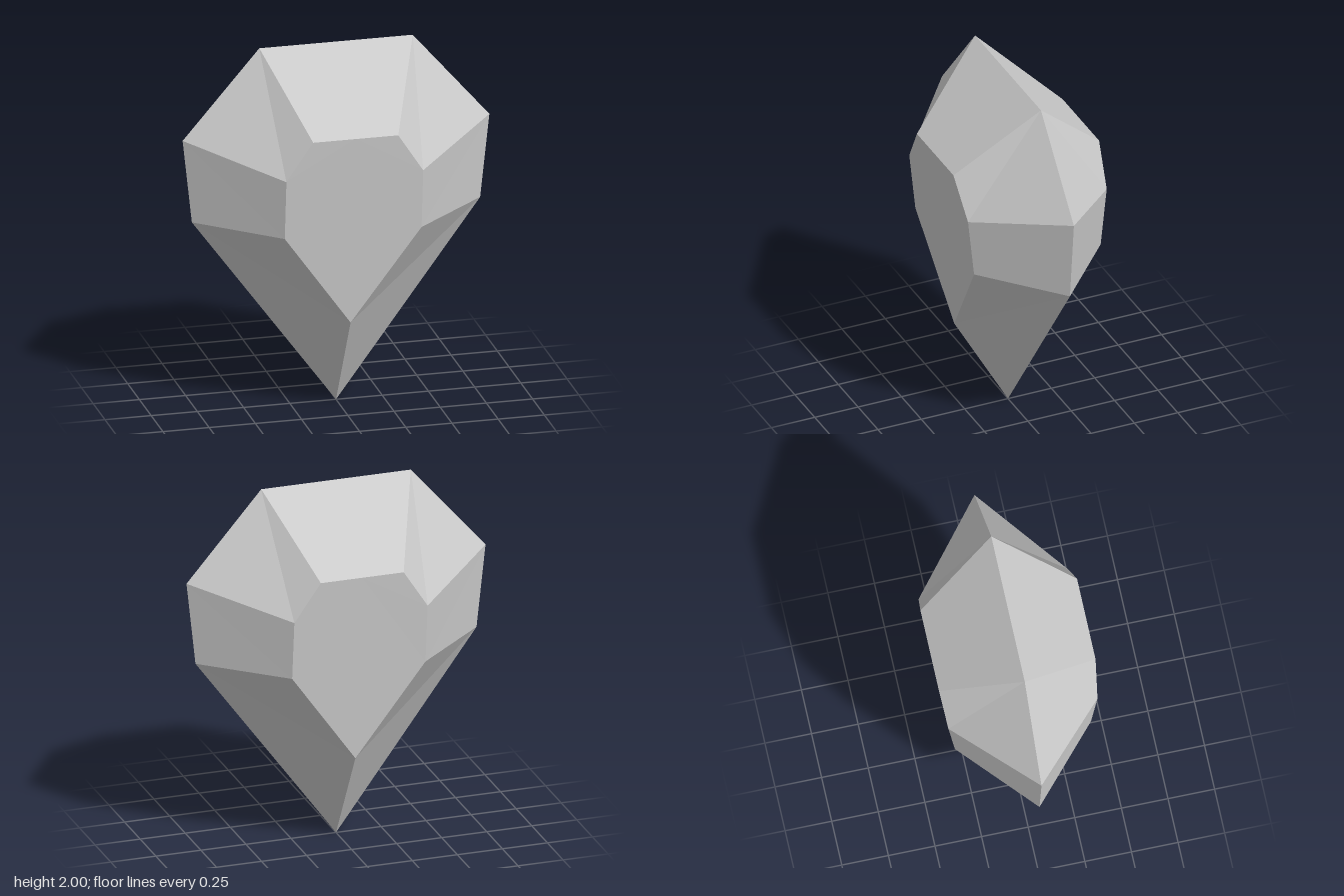
import * as THREE from 'three';

// One quarter of the gem, from the top centre round to the bottom tip.
const girdle = [[0, 2, 0], [0.415, 2, 0], [0.83, 1.52, 0], [0.78, 1.06, 0], [0, 0, 0]];
const table = [[0, 1.605, 0.42], [0.23, 1.605, 0.42], [0.37, 1.39, 0.4], [0.37, 1.06, 0.365], [0, 0.54, 0.31]];

// Mirrors a list of quarter triangles into all four quarters.
function mirrored(triangles) {
  const positions = [];
  for (const sx of [1, -1]) {
    for (const sz of [1, -1]) {
      for (const [a, b, c] of triangles) {
        const corners = sx * sz > 0 ? [a, b, c] : [a, c, b];
        for (const [x, y, z] of corners) positions.push(x * sx, y, z * sz);
      }
    }
  }
  const geometry = new THREE.BufferGeometry();
  geometry.setAttribute('position', new THREE.Float32BufferAttribute(positions, 3));
  geometry.computeVertexNormals();
  return geometry;
}

export function createModel() {
  const group = new THREE.Group();
  group.name = 'gem';
  const stone = new THREE.MeshStandardMaterial({ color: 0xcccccc, flatShading: true });
  stone.name = 'grey stone';

  // Sloping facets between the thin outer edge and the flat faces
  const slopes = [];
  for (let i = 0; i < girdle.length - 1; i++) {
    slopes.push([girdle[i], table[i + 1], girdle[i + 1]]);
    slopes.push([girdle[i], table[i], table[i + 1]]);
  }
  const facets = new THREE.Mesh(mirrored(slopes), stone);
  facets.name = 'sideFacets';

  // Large flat faces on the front and back
  const flats = [];
  for (let i = 1; i < table.length - 1; i++) flats.push([table[0], table[i + 1], table[i]]);
  const faces = new THREE.Mesh(mirrored(flats), stone);
  faces.name = 'flatFaces';

  group.add(facets, faces);
  return group;
}
